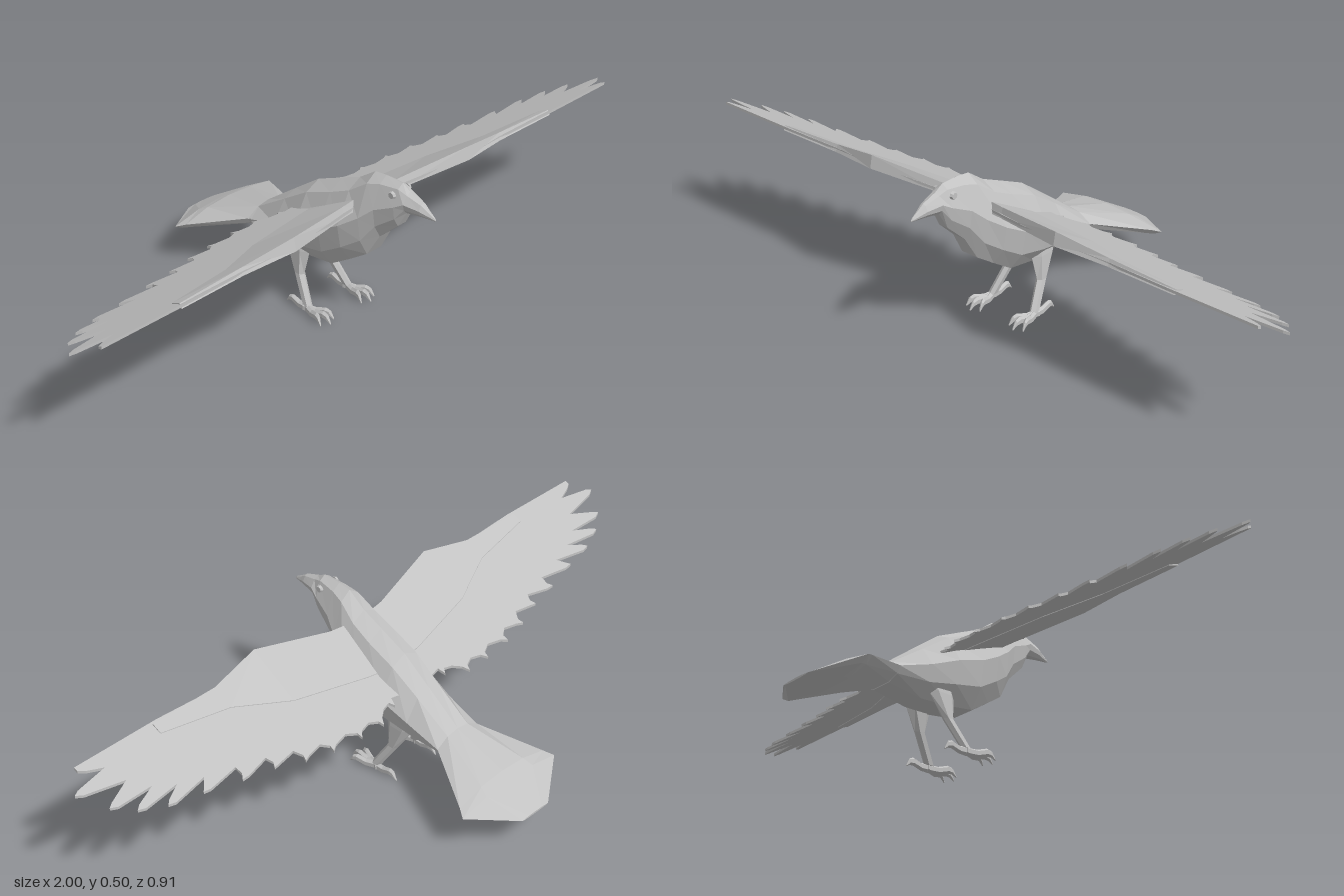
import * as THREE from 'three';

const plumage = new THREE.MeshStandardMaterial({ color: 0xc2c2c2 });
plumage.name = 'plumage grey';

// Flat-shaded geometry from a triangle soup; turns it outward if it is inside out
function faceted(positions) {
  const p = Array.from(positions);
  let volume = 0;
  for (let i = 0; i < p.length; i += 9) {
    const [a, b, c] = [0, 3, 6].map((k) => new THREE.Vector3(p[i + k], p[i + k + 1], p[i + k + 2]));
    volume += a.dot(b.cross(c));
  }
  if (volume < 0) {
    for (let i = 0; i < p.length; i += 9) {
      for (let k = 0; k < 3; k++) [p[i + 3 + k], p[i + 6 + k]] = [p[i + 6 + k], p[i + 3 + k]];
    }
  }
  const g = new THREE.BufferGeometry();
  g.setAttribute('position', new THREE.Float32BufferAttribute(p, 3));
  g.computeVertexNormals();
  return g;
}

// Closed skin over a row of rings with equal point counts
function loft(rings) {
  const out = [];
  const tri = (a, b, c) => out.push(...a, ...b, ...c);
  const n = rings[0].length;
  for (let r = 0; r < rings.length - 1; r++) {
    for (let i = 0; i < n; i++) {
      const j = (i + 1) % n;
      tri(rings[r][i], rings[r + 1][i], rings[r + 1][j]);
      tri(rings[r][i], rings[r + 1][j], rings[r][j]);
    }
  }
  const end = rings[rings.length - 1];
  for (let i = 1; i < n - 1; i++) {
    tri(rings[0][0], rings[0][i], rings[0][i + 1]);
    tri(end[0], end[i + 1], end[i]);
  }
  return faceted(out);
}

// Elliptical ring in the plane of constant y ('y') or constant z ('z')
function oval(x, y, z, ra, rb, axis, sides = 6) {
  return Array.from({ length: sides }, (_, i) => {
    const t = ((i + 0.5) / sides) * Math.PI * 2;
    const a = Math.cos(t) * ra, b = Math.sin(t) * rb;
    return axis === 'y' ? [x + a, y, z + b] : [x + a, y + b, z];
  });
}

function addMesh(parent, name, geometry) {
  const mesh = new THREE.Mesh(geometry, plumage);
  mesh.name = name;
  parent.add(mesh);
}

// Adds a part and its mirror image
function addPair(parent, name, geometry) {
  addMesh(parent, 'left' + name, geometry);
  const p = Array.from(geometry.attributes.position.array, (v, i) => (i % 3 === 0 ? -v : v));
  addMesh(parent, 'right' + name, faceted(p));
}

// Cross-section of head, body and tail: top ridge, shoulders, flanks, flat belly
function bodyRing([z, top, bottom, w]) {
  const h = top - bottom;
  const half = [[0.5 * w, top - 0.1 * h], [w, bottom + 0.52 * h], [0.85 * w, bottom + 0.22 * h], [0.42 * w, bottom]];
  return [[0, top, z], ...half.map(([x, y]) => [x, y, z]), ...half.reverse().map(([x, y]) => [-x, y, z])];
}

const wingHeight = (z) => 0.298 + 0.42 * z;

function wingBlade() {
  // Feather tips [x, z] from the wing tip inwards, with notch depth
  const tips = [
    [0.95, 0.25, 0.12], [1.0, 0.2, 0.15], [0.95, 0.13, 0.14], [0.895, 0.09, 0.13], [0.82, 0.062, 0.11],
    [0.72, 0.043, 0.09], [0.61, 0.018, 0.07], [0.515, 0.0, 0.055], [0.43, -0.027, 0.045],
    [0.345, -0.045, 0.04], [0.25, -0.055, 0.035], [0.17, -0.058, 0.03], [0.1, -0.03, 0],
  ];
  const s = new THREE.Shape();
  s.moveTo(0.03, -0.21);
  [[0.08, 0.222], [0.33, 0.275], [0.49, 0.255], [0.68, 0.263], [0.95, 0.262]].forEach(([x, z]) => s.lineTo(x, -z));
  tips.forEach(([x, z, depth], i) => {
    // each feather points away from the middle of the wing
    const dir = new THREE.Vector2(x - 0.15, z - 0.31 + 0.08 * x).normalize();
    const side = new THREE.Vector2(-dir.y, dir.x).multiplyScalar(0.007);
    if (i > 0) s.lineTo(x + side.x - dir.x * 0.015, -(z + side.y - dir.y * 0.015));
    s.lineTo(x, -z);
    s.lineTo(x - side.x * 1.5 - dir.x * 0.02, -(z - side.y * 1.5 - dir.y * 0.02));
    const next = tips[i + 1];
    if (next) {
      const mx = (x + next[0]) / 2 - dir.x * depth * 0.75;
      const mz = (z + next[1]) / 2 - dir.y * depth * 0.75;
      s.lineTo(mx, -mz);
    }
  });
  s.lineTo(0.03, 0.02);
  const g = new THREE.ExtrudeGeometry(s, { depth: 0.008, bevelEnabled: false }).rotateX(-Math.PI / 2);
  const p = g.attributes.position;
  for (let i = 0; i < p.count; i++) p.setY(i, p.getY(i) + wingHeight(p.getZ(i)) - 0.004);
  return faceted((g.index ? g.toNonIndexed() : g).attributes.position.array);
}

// Thick leading edge [x, front z, top y, rear z]
function wingArm() {
  const stations = [[0.03, 0.215, 0.41, 0.06], [0.1, 0.225, 0.412, 0.07], [0.33, 0.28, 0.445, 0.12], [0.49, 0.258, 0.418, 0.19], [0.7, 0.262, 0.412, 0.225]];
  return loft(stations.map(([x, zf, top, zr]) => [
    [x, wingHeight(zf) - 0.009, zf],
    [x, top, zf - 0.008],
    [x, wingHeight(zr) + 0.006, zr],
    [x, wingHeight(zr) - 0.006, zr],
  ]));
}

export function createModel() {
  const bird = new THREE.Group();
  bird.name = 'bird';

  // Head and body: [z, top, bottom, half width]
  addMesh(bird, 'body', loft([
    [0.43, 0.45, 0.427, 0.01], [0.41, 0.464, 0.426, 0.017], [0.365, 0.479, 0.42, 0.028],
    [0.338, 0.495, 0.37, 0.036], [0.28, 0.495, 0.315, 0.05], [0.24, 0.49, 0.245, 0.066],
    [0.185, 0.45, 0.208, 0.086], [0.12, 0.421, 0.166, 0.095], [0.03, 0.38, 0.153, 0.095],
    [-0.06, 0.313, 0.15, 0.085], [-0.17, 0.23, 0.166, 0.079],
  ].map(bodyRing)));

  // Beak tip, hooked slightly down
  addMesh(bird, 'beakTip', loft([
    [0.43, 0.45, 0.427, 0.01], [0.45, 0.438, 0.428, 0.004], [0.456, 0.432, 0.429, 0.001],
  ].map(bodyRing)));

  // Fanned tail
  addMesh(bird, 'tail', loft([
    [-0.1, 0.275, 0.165, 0.075], [-0.17, 0.23, 0.168, 0.079], [-0.335, 0.175, 0.115, 0.168],
    [-0.362, 0.16, 0.108, 0.185], [-0.456, 0.104, 0.098, 0.052],
  ].map(bodyRing)));

  // Eyes
  const eye = new THREE.CylinderGeometry(0.009, 0.012, 0.008, 8).rotateZ(-Math.PI / 2).translate(0.031, 0.466, 0.328);
  addPair(bird, 'Eye', faceted(eye.toNonIndexed().attributes.position.array));

  // Wings
  addPair(bird, 'WingFeathers', wingBlade());
  addPair(bird, 'WingArm', wingArm());

  // Legs: wide thigh, thin shank leaning forward to the foot
  addPair(bird, 'Leg', loft([
    oval(0.045, 0.2, -0.005, 0.022, 0.055, 'y'), oval(0.05, 0.172, 0, 0.02, 0.045, 'y'),
    oval(0.06, 0.1, 0.017, 0.013, 0.017, 'y'), oval(0.078, 0.02, 0.066, 0.012, 0.016, 'y'),
  ]));

  // Toes: three forward, one back, each ending in a claw
  [[0.055, 0.145], [0.08, 0.158], [0.106, 0.145], [0.08, -0.014]].forEach(([x, z], i) => {
    const at = (t) => [0.08 + (x - 0.08) * t, 0.066 + (z - 0.066) * t];
    const ring = (t, y, rx, ry) => oval(at(t)[0], y, at(t)[1], rx, ry, 'z', 6);
    addPair(bird, 'Toe' + (i + 1), loft([
      ring(-0.1, 0.014, 0.01, 0.013), ring(0.35, 0.012, 0.009, 0.012),
      ring(0.7, 0.02, 0.008, 0.012), ring(0.85, 0.017, 0.006, 0.01), ring(1, 0.002, 0.002, 0.002),
    ]));
  });

  return bird;
}
